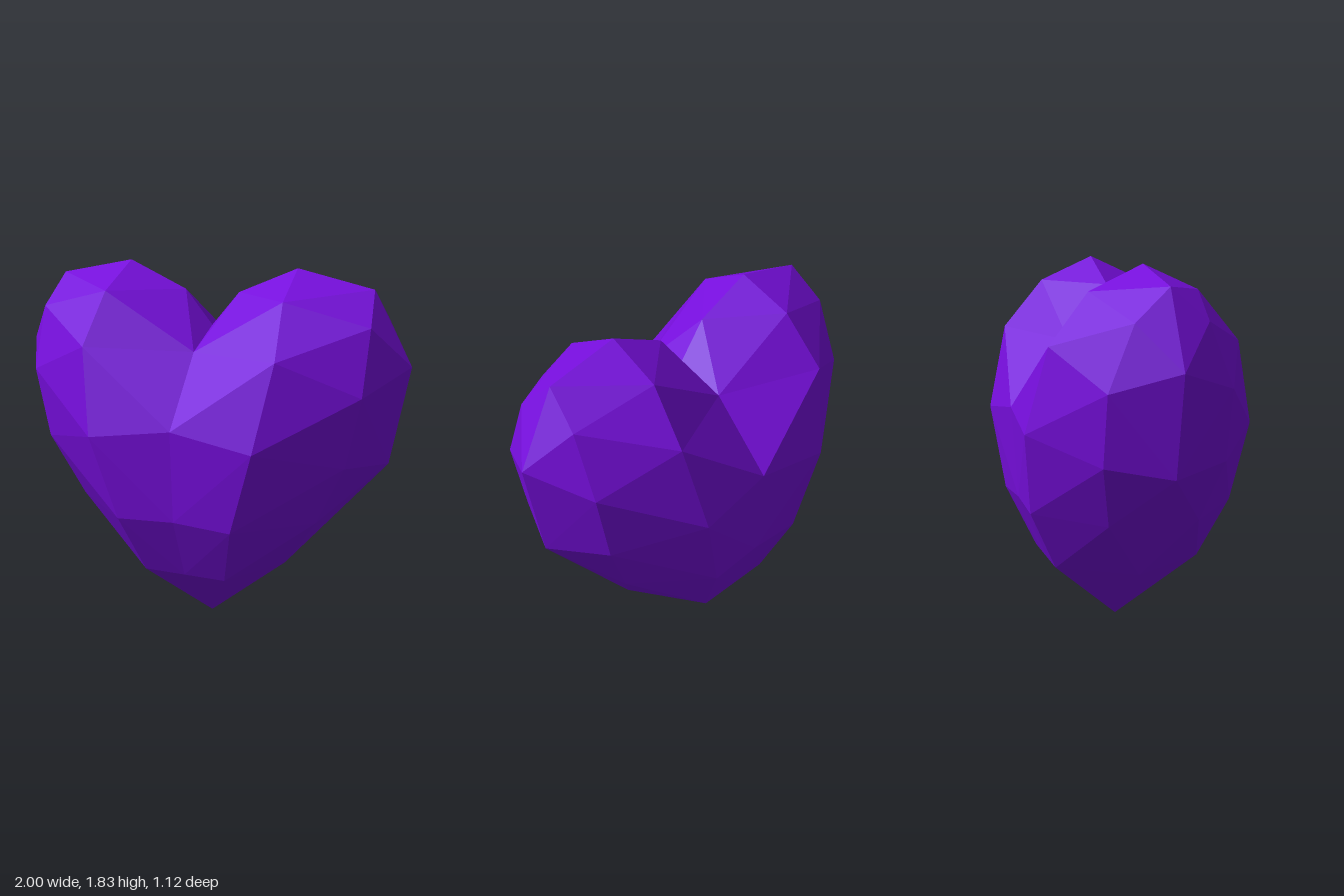
import * as THREE from 'three';

// Corner points of one quarter of the heart (+x, +z)
const P = {
  // outer rim, from the bottom tip round to the cleft
  tip: [0, 0, 0], r1: [0.4, 0.33, 0], r2: [0.91, 0.92, 0], r3: [1, 1.4, 0],
  r4: [0.81, 1.75, 0], r5: [0.435, 1.83, 0], r6: [0.14, 1.7, 0], cleft: [0, 1.53, 0],
  // ring just inside the rim
  s1: [0.62, 0.65, 0.22], s2: [0.77, 0.96, 0.29], s3: [0.84, 1.3, 0.29], s4: [0.84, 1.6, 0.17],
  // ridge over the middle of the lobe
  a: [0.21, 0.345, 0.37], b: [0.29, 0.65, 0.51], c: [0.41, 1.06, 0.56],
  d: [0.48, 1.47, 0.46], e: [0.45, 1.71, 0.265],
  // centre line
  m0: [0, 0.345, 0.37], m1: [0, 0.665, 0.505], m2: [0, 1.12, 0.535], m3: [0, 1.44, 0.24],
};

const FACES = [
  'tip a m0', 'tip r1 a', 'm0 a b', 'm0 b m1', 'r1 s1 a', 'a s1 b', 'r1 r2 s1', 'r2 s2 s1',
  'b s1 s2', 'b s2 c', 'm1 b c', 'm1 c m2', 'r2 r3 s3', 'r2 s3 s2', 'c s2 s3', 'c s3 d',
  'r3 s4 s3', 'r3 r4 s4', 'd s3 s4', 'd s4 e', 's4 r4 e', 'r4 r5 e', 'e r5 r6', 'e r6 m3',
  'r6 cleft m3', 'd e m3', 'd m3 m2', 'c d m2',
];

// Mirror the quarter into all four, keeping every facet turned outwards
function heartGeometry() {
  const positions = [];
  const inside = new THREE.Vector3(0.45, 1.1, 0);
  const normal = new THREE.Vector3();
  const middle = new THREE.Vector3();
  for (const face of FACES) {
    const tri = new THREE.Triangle(...face.split(' ').map((n) => new THREE.Vector3(...P[n])));
    tri.getNormal(normal);
    tri.getMidpoint(middle).sub(inside);
    const outward = normal.dot(middle) > 0;
    for (const sx of [1, -1]) {
      for (const sz of [1, -1]) {
        const keep = (sx * sz > 0) === outward;
        const corners = keep ? [tri.a, tri.b, tri.c] : [tri.a, tri.c, tri.b];
        for (const v of corners) positions.push(v.x * sx, v.y, v.z * sz);
      }
    }
  }
  const geometry = new THREE.BufferGeometry();
  geometry.setAttribute('position', new THREE.Float32BufferAttribute(positions, 3));
  geometry.computeVertexNormals(); // unshared corners give flat facets
  return geometry;
}

export function createModel() {
  const purple = new THREE.MeshStandardMaterial({ color: 0x760edc, flatShading: true });
  purple.name = 'purple';

  const heart = new THREE.Mesh(heartGeometry(), purple);
  heart.name = 'heart';

  const group = new THREE.Group();
  group.name = 'facetedHeart';
  group.add(heart);
  return group;
}
